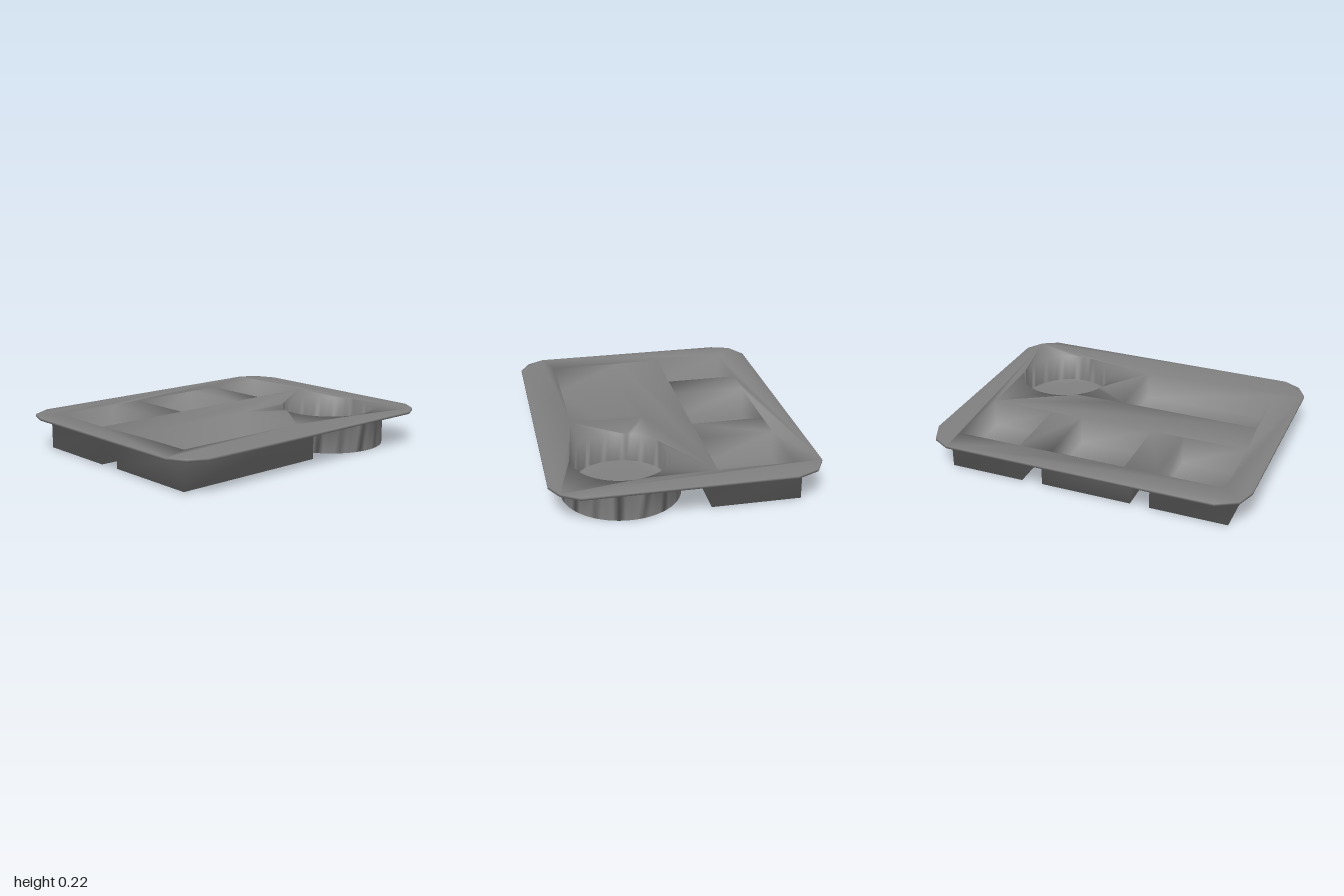
import * as THREE from 'three';
import { mergeGeometries, mergeVertices } from 'three/addons/utils/BufferGeometryUtils.js';

const PLATE_BOTTOM = 0.205, PLATE_TOP = 0.22, FLOOR = 0.04;

// Outlines are counter-clockwise points in plan, as (x, -z)
const points = list => list.map(([x, z]) => new THREE.Vector2(x, -z));
const rect = ([x0, x1, z0, z1]) => points([[x0, z1], [x1, z1], [x1, z0], [x0, z0]]);
const circle = ([x, z, r]) => points(Array.from({ length: 64 }, (_, i) => {
  const a = (i / 64) * Math.PI * 2;
  return [x + r * Math.cos(a), z - r * Math.sin(a)];
}));

// Level surface with optional holes, facing up or down
function level(outline, y, facesUp, holes = []) {
  const shape = new THREE.Shape(outline);
  shape.holes = holes.map(h => new THREE.Path(h));
  const g = new THREE.ShapeGeometry(shape).rotateX(-Math.PI / 2).translate(0, y, 0);
  if (!facesUp) g.index.array.reverse();
  const flat = g.toNonIndexed();
  flat.deleteAttribute('normal');
  flat.deleteAttribute('uv');
  return flat;
}

// Upright wall along an outline: faces outward if y0 < y1, inward otherwise
function wall(outline, y0, y1) {
  const p = [];
  outline.forEach((a, i) => {
    const b = outline[(i + 1) % outline.length];
    p.push(a.x, y0, -a.y, b.x, y0, -b.y, b.x, y1, -b.y);
    p.push(a.x, y0, -a.y, b.x, y1, -b.y, a.x, y1, -a.y);
  });
  return new THREE.BufferGeometry().setAttribute('position', new THREE.Float32BufferAttribute(p, 3));
}

export function createModel() {
  // Compartments: inner opening and outer wall, as [x0, x1, z0, z1] or [x, z, r]
  const wells = [
    { name: 'backRightWell', draw: rect, inner: [-0.845, -0.445, -0.615, -0.165], outer: [-0.885, -0.41, -0.655, -0.12], base: 0.005 },
    { name: 'backMiddleWell', draw: rect, inner: [-0.24, 0.225, -0.615, -0.165], outer: [-0.29, 0.275, -0.655, -0.11], base: 0.005 },
    { name: 'backLeftWell', draw: rect, inner: [0.43, 0.835, -0.62, -0.17], outer: [0.405, 0.875, -0.66, -0.13], base: 0.005 },
    { name: 'mainWell', draw: rect, inner: [-0.82, 0.055, 0.11, 0.565], outer: [-0.885, 0.12, 0.03, 0.64], base: 0.01 },
    { name: 'cupWell', draw: circle, inner: [0.56, 0.34, 0.295], outer: [0.56, 0.34, 0.355], base: 0 },
  ].map(w => ({ ...w, inner: w.draw(w.inner), outer: w.draw(w.outer) }));

  // Thin plate with clipped corners
  const rim = points([
    [-1, 0.63], [-0.94, 0.735], [-0.835, 0.79], [0.835, 0.79], [0.935, 0.735], [1, 0.63],
    [1, -0.595], [0.94, -0.73], [0.835, -0.79], [-0.835, -0.79], [-0.96, -0.72], [-1, -0.6],
  ]);
  const parts = [{
    name: 'topPlate',
    geometry: mergeGeometries([
      level(rim, PLATE_TOP, true, wells.map(w => w.inner)),
      level(rim, PLATE_BOTTOM, false, wells.map(w => w.outer)),
      wall(rim, PLATE_BOTTOM, PLATE_TOP),
    ]),
  }];

  // Each compartment: lining, floor, outer wall and underside
  for (const { name, inner, outer, base } of wells) {
    parts.push({
      name,
      geometry: mergeGeometries([
        wall(inner, PLATE_TOP, FLOOR),
        level(inner, FLOOR, true),
        wall(outer, base, PLATE_BOTTOM),
        level(outer, base, false),
      ]),
    });
  }

  // Weld the whole shell so that shading runs smoothly from part to part
  const shell = mergeVertices(mergeGeometries(parts.map(p => p.geometry)));
  shell.computeVertexNormals();
  const smooth = shell.toNonIndexed();

  // Hand each part its own stretch of the shell
  const tray = new THREE.Group();
  tray.name = 'compartmentTray';
  const material = new THREE.MeshStandardMaterial({ color: 0x808080 });
  let start = 0;
  for (const { name, geometry } of parts) {
    const end = start + geometry.attributes.position.count;
    const part = new THREE.BufferGeometry();
    for (const key of ['position', 'normal']) {
      part.setAttribute(key, new THREE.BufferAttribute(smooth.attributes[key].array.slice(start * 3, end * 3), 3));
    }
    const mesh = new THREE.Mesh(part, material);
    mesh.name = name;
    tray.add(mesh);
    start = end;
  }
  return tray;
}
